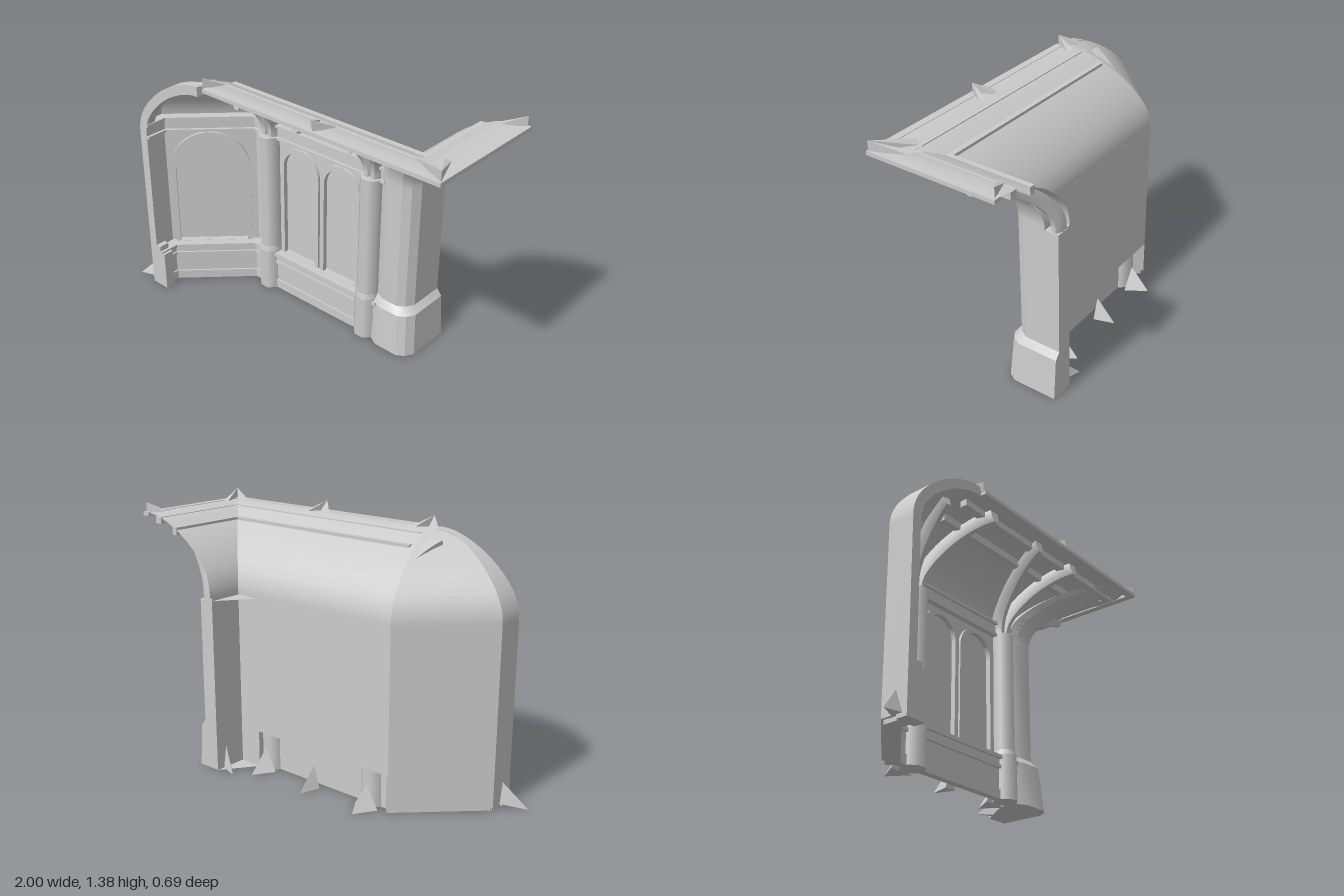
import * as THREE from 'three';
import { toCreasedNormals } from 'three/addons/utils/BufferGeometryUtils.js';
import { ConvexGeometry } from 'three/addons/geometries/ConvexGeometry.js';

const material = new THREE.MeshStandardMaterial({ color: 0xcccccc, side: THREE.DoubleSide });
const V = (x, y, z) => new THREE.Vector3(x, y, z);
const END = 0.345; // half depth

// Outer wall line in plan [x, z], and where each vault edge ends at the ceiling
const wallLine = [[-0.88, END], [-0.88, 0.2], [-0.51, -0.16], [0.49, -0.16], [0.49, -END]];
const ceilingLine = [[-0.38, END], [-0.38, END], [-0.38, END], [1, END], [1, -END]];

// Vault profile: [share of the way from wall to ceiling, height]
const profile = new THREE.CatmullRomCurve3([
  [0, 0.93], [0.005, 0.98], [0.05, 1.05], [0.18, 1.14], [0.36, 1.22], [0.56, 1.28], [0.78, 1.32], [1, 1.33],
].map(([s, y]) => V(s, y, 0))).getPoints(20);

function add(parent, name, geometry, x = 0, y = 0, z = 0) {
  const mesh = new THREE.Mesh(geometry, material);
  mesh.name = name;
  mesh.position.set(x, y, z);
  parent.add(mesh);
}

// Box from its lower and upper corners
const box = (parent, name, [x0, y0, z0], [x1, y1, z1]) =>
  add(parent, name, new THREE.BoxGeometry(x1 - x0, y1 - y0, z1 - z0),
    (x0 + x1) / 2, (y0 + y1) / 2, (z0 + z1) / 2);

// Skin over a list of cross-sections
function loft(rings, closed = true) {
  const n = rings[0].length, index = [];
  for (let i = 0; i < rings.length - 1; i++) {
    for (let k = 0; k < (closed ? n : n - 1); k++) {
      const a = i * n + k, b = i * n + (k + 1) % n;
      index.push(a, a + n, b, b, a + n, b + n);
    }
  }
  if (closed) {
    const last = (rings.length - 1) * n;
    for (let k = 1; k < n - 1; k++) index.push(0, k, k + 1, last, last + k + 1, last + k);
  }
  const geometry = new THREE.BufferGeometry().setFromPoints(rings.flat());
  geometry.setIndex(index);
  return toCreasedNormals(geometry, 0.5);
}

// Curve on the vault from a wall point to a ceiling point
function vaultCurve(from, to, limit = 1) {
  return profile.filter((p) => p.x <= limit).map((p) =>
    V(from[0] + (to[0] - from[0]) * p.x, p.y, from[1] + (to[1] - from[1]) * p.x));
}

// Rib hanging under the vault; section is [across, inward]
function rib(parent, name, from, to, inward, section, limit) {
  const points = vaultCurve(from, to, limit);
  const side = V(inward[1], 0, -inward[0]).normalize();
  const rings = points.map((p, i) => {
    const tangent = points[Math.min(i + 1, points.length - 1)].clone().sub(points[Math.max(i - 1, 0)]);
    const normal = side.clone().cross(tangent).normalize();
    return section.map(([u, v]) => p.clone().addScaledVector(side, u).addScaledVector(normal, v));
  });
  add(parent, name, loft(rings));
}

// Round-headed outline
function arch(Type, x, halfWidth, bottom, spring) {
  const path = new Type();
  path.moveTo(x - halfWidth, bottom);
  path.lineTo(x + halfWidth, bottom);
  path.lineTo(x + halfWidth, spring);
  path.absarc(x, spring, halfWidth, 0, Math.PI, false);
  path.lineTo(x - halfWidth, bottom);
  return path;
}

const extrude = (shape, depth) =>
  new THREE.ExtrudeGeometry(shape, { depth, bevelEnabled: false, curveSegments: 10 });

// Panelled bay between x0 and x1 of a wall section; z = 0 is the outer face
function bay(wall, x0, x1, plinthBack, arches = [], halfWidth = 0, spring = 0) {
  const frame = new THREE.Shape();
  frame.moveTo(x0, 0.22);
  frame.lineTo(x1, 0.22);
  frame.lineTo(x1, 0.96);
  frame.lineTo(x0, 0.96);
  for (const x of arches) {
    frame.holes.push(arch(THREE.Path, x, halfWidth, 0.23, spring));
    const rim = arch(THREE.Shape, x, halfWidth + 0.016, 0.23, spring);
    rim.holes.push(arch(THREE.Path, x, halfWidth - 0.01, 0.231, spring));
    add(wall, 'archMoulding', extrude(rim, 0.025), 0, 0, 0.025);
  }
  add(wall, 'archedFrame', extrude(frame, 0.02), 0, 0, 0.015);
  // Plinth and cornice steps: [bottom, top, depth]
  for (const [y0, y1, d] of [[0, 0.05, 0.085], [0.05, 0.16, 0.075], [0.16, 0.178, 0.09],
    [0.178, 0.21, 0.08], [0.21, 0.23, 0.095]]) box(wall, 'plinth', [x0, y0, plinthBack], [x1, y1, d]);
  for (const [y0, y1, d] of [[0.915, 0.93, 0.065], [0.93, 0.985, 0.05], [0.985, 1.0, 0.065]])
    box(wall, 'cornice', [x0, y0, 0.015], [x1, y1, d]);
}

// Four-cornered spike
const spike = (parent, ...corners) =>
  add(parent, 'spike', new ConvexGeometry(corners.map((c) => V(...c))));

export function createModel() {
  const model = new THREE.Group();
  model.name = 'vaultedCorner';

  // Wall sections and the vault above each
  for (let i = 0; i < 4; i++) {
    const [p, q] = [wallLine[i], wallLine[i + 1]];
    const wall = new THREE.Group();
    wall.name = 'wallSection';
    wall.position.set((p[0] + q[0]) / 2, 0, (p[1] + q[1]) / 2);
    wall.rotation.y = Math.atan2(p[1] - q[1], q[0] - p[0]);
    model.add(wall);
    const half = Math.hypot(q[0] - p[0], q[1] - p[1]) / 2;
    box(wall, 'backPanel', [-half, i === 2 ? 0.2 : 0.02, 0], [half, 0.94, 0.015]);
    if (i === 0) bay(wall, -half, half, 0.015);
    if (i === 1) bay(wall, -half, half, 0.015, [-0.008], 0.198, 0.69);
    if (i === 2) bay(wall, -0.49, 0.4, 0.045, [-0.165, 0.115], 0.118, 0.765);
    const left = vaultCurve(p, ceilingLine[i]), right = vaultCurve(q, ceilingLine[i + 1]);
    add(model, 'vault', loft(left.map((a, k) => [a, right[k]]), false));
  }

  // Wall columns, each splitting into two ribs
  const bar = [[-0.027, 0.012], [0.027, 0.012], [0.027, 0.045], [0.012, 0.075], [-0.012, 0.075], [-0.027, 0.045]];
  for (const x of [-0.375, 0.31]) {
    const turn = Math.PI / 8;
    add(model, 'columnShaft', new THREE.CylinderGeometry(0.058, 0.058, 0.68, 8).rotateY(turn), x, 0.59, -0.1);
    add(model, 'columnBase', new THREE.CylinderGeometry(0.064, 0.066, 0.24, 8).rotateY(turn), x, 0.12, -0.095);
    add(model, 'columnBaseCap', new THREE.CylinderGeometry(0.058, 0.064, 0.025, 8).rotateY(turn), x, 0.2525, -0.095);
    for (const side of [-1, 1])
      rib(model, 'fanRib', [x + side * 0.022, -0.155], [x + side * 0.18, END], [0, 1], bar, x + side < -1 ? 0.7 : 0.85);
  }
  rib(model, 'sideRib', [0.495, -0.315], [1, -0.13], [1, 0], bar, 0.85);

  // Large corner pier with flared base
  const plan = [[0.36, -0.16], [0.37, -0.11], [0.42, -0.082], [0.51, -0.08], [0.55, -0.105],
    [0.575, -0.15], [0.575, -END], [0.49, -END], [0.49, -0.16]];
  const pier = [[0, 0.045], [0.23, 0.028], [0.265, 0], [0.93, 0]].map(([y, out]) =>
    plan.map(([x, z]) => V(x + (x > 0.5 ? out : 0), y, z + (x > 0.365 && z > -0.155 ? out : 0))));
  add(model, 'cornerPier', loft(pier));

  // Broad rib carrying the pier outline up along the vault corner
  const face = [[0.37, -0.145], ...plan.slice(1, 6), [0.575, -0.27], [0.51, -0.27], [0.495, -0.155]];
  const flare = profile.filter((p) => p.x < 0.82).map((p) =>
    face.map(([x, z]) => V(Math.min(x + 0.51 * p.x, 1), p.y - 0.005, Math.min(z + 0.505 * p.x, END))));
  add(model, 'cornerRib', loft(flare));

  // Left end pilaster and its arch
  box(model, 'endPilaster', [-0.88, 0, 0.29], [-0.83, 0.95, END]);
  box(model, 'endPilasterBase', [-0.88, 0, 0.285], [-0.77, 0.22, END]);
  box(model, 'endPilasterCap', [-0.88, 0.22, 0.288], [-0.8, 0.26, END]);
  rib(model, 'endArch', [-0.88, 0.318], [-0.38, 0.318], [1, 0],
    [[-0.027, 0], [0.027, 0], [0.027, 0.05], [-0.027, 0.05]], 1);

  // Ceiling beams turning the corner: [z, x, bottom, top, width, start]
  for (const [z, x, y0, y1, w, start] of [[0.1, 0.755, 1.235, 1.275, 0.03, -0.42],
    [0.22, 0.88, 1.28, 1.315, 0.04, -0.4], [0.325, 0.98, 1.31, 1.33, 0.04, -0.38]]) {
    box(model, 'ceilingBeam', [start, y0, z - w / 2], [x + w / 2, y1, z + w / 2]);
    box(model, 'ceilingBeam', [x - w / 2, y0, -END], [x + w / 2, y1, z + w / 2]);
  }

  // Spikes on the roof: pairs spreading from a raised point
  const roofSpike = (x, z, ax, az, bx, bz) =>
    spike(model, [x, 1.325, z], [x, 1.38, z], [ax, 1.335, az], [bx, 1.335, bz]);
  for (const x of [-0.385, 0.31]) {
    roofSpike(x, 0.335, x - 0.08, 0.26, x - 0.04, 0.23);
    roofSpike(x, 0.335, x + 0.06, 0.24, x + 0.03, 0.22);
  }
  roofSpike(0.995, 0.335, 0.8, 0.24, 0.84, 0.19);
  roofSpike(0.995, 0.335, 0.89, 0.16, 0.93, 0.17);
  roofSpike(0.985, -0.335, 0.88, -0.3, 0.89, -0.27);

  // Spikes at the foot of the outer walls
  for (const [x, w] of [[-0.38, 0.07], [-0.035, 0.035], [0.31, 0.07]])
    spike(model, [x, 0, -0.27], [x - w, 0, -0.16], [x + w, 0, -0.16], [x, 0.12, -0.16]);
  spike(model, [-1, 0, 0.335], [-0.88, 0.02, 0.26], [-0.88, 0.02, 0.32], [-0.88, 0.13, 0.28]);
  spike(model, [0.385, 0, -0.335], [0.49, 0, -0.3], [0.49, 0, -0.25], [0.49, 0.12, -0.28]);
  return model;
}
